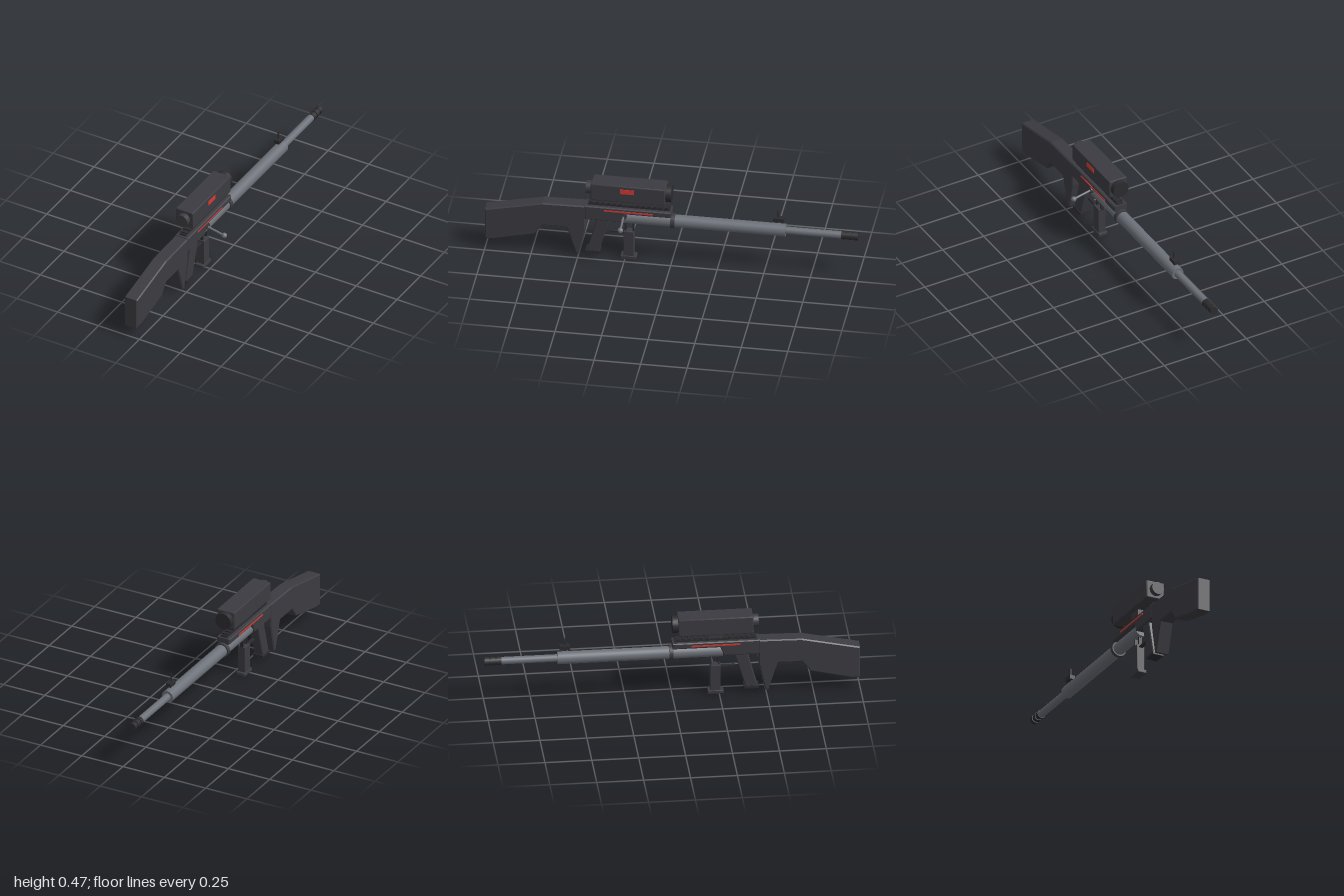
import * as THREE from 'three';
import { RoundedBoxGeometry } from 'three/addons/geometries/RoundedBoxGeometry.js';
import { toCreasedNormals } from 'three/addons/utils/BufferGeometryUtils.js';

const CX = -0.053; // centre plane of the body
const BORE = 0.25; // height of the barrel axis

function material(name, color) {
  const m = new THREE.MeshStandardMaterial({ color });
  m.name = name;
  return m;
}

export function createModel() {
  const body = material('charcoal', 0x3c3b41);
  const dark = material('black', 0x2c2c2f);
  const steel = material('steel', 0x6c7078);
  const red = material('red', 0xd23a32);
  const model = new THREE.Group();
  model.name = 'rifle';

  function add(name, geometry, mat, x = 0, y = 0, z = 0) {
    const mesh = new THREE.Mesh(geometry, mat);
    mesh.name = name;
    mesh.position.set(x, y, z);
    model.add(mesh);
    return mesh;
  }
  // Box given by its y and z limits, centred on the body
  function box(name, mat, width, y0, y1, z0, z1, x = CX, bevel = 0) {
    const size = [width, y1 - y0, z1 - z0];
    const g = bevel
      ? toCreasedNormals(new RoundedBoxGeometry(...size, 1, bevel), 0.3)
      : new THREE.BoxGeometry(...size);
    return add(name, g, mat, x, (y0 + y1) / 2, (z0 + z1) / 2);
  }
  // Cylinder lying along z
  function tube(name, mat, r, y, z0, z1, sides = 24) {
    const g = new THREE.CylinderGeometry(r, r, z1 - z0, sides).rotateX(Math.PI / 2);
    return add(name, g, mat, CX, y, (z0 + z1) / 2);
  }
  // Side profile of [z, y] points, extruded across x with a chamfer
  function profile(name, mat, width, points, bevel) {
    const shape = new THREE.Shape(points.map(([z, y]) => new THREE.Vector2(z, y)));
    const depth = width - 2 * bevel;
    const g = new THREE.ExtrudeGeometry(shape, {
      depth, bevelEnabled: true, bevelSegments: 1,
      bevelSize: bevel, bevelThickness: bevel, bevelOffset: -bevel,
    });
    g.translate(0, 0, -depth / 2).rotateY(-Math.PI / 2);
    return add(name, g, mat, CX);
  }
  // Round rod between two points
  function rod(name, mat, a, b, r) {
    const curve = new THREE.LineCurve3(new THREE.Vector3(...a), new THREE.Vector3(...b));
    const geo = new THREE.TubeGeometry(curve, 1, r, 8);
    return add(name, geo, mat);
  }

  // Stock with its pointed front lobe
  profile('stock', body, 0.078, [
    [0.46, 0.315], [0.46, 0.175], [0.495, 0.015], [0.51, 0.015], [0.56, 0.175],
    [0.69, 0.175], [0.735, 0.115], [0.955, 0.063], [1, 0.063], [1, 0.245], [0.69, 0.311],
  ], 0.006);

  // Receiver, open below at the front where the barrel shows
  profile('receiver', body, 0.08, [
    [0, 0.318], [0, 0.285], [0.255, 0.285], [0.275, 0.235], [0.465, 0.235], [0.465, 0.318],
  ], 0.005);
  for (const side of [-1, 1])
    box('receiverStripe', red, 0.004, 0.296, 0.304, 0.1, 0.36, CX + side * 0.041);

  // Rail with teeth
  box('rail', dark, 0.038, 0.315, 0.328, 0.01, 0.45);
  for (let i = 0; i < 14; i++) {
    const z = 0.02 + i * 0.031;
    box('railTooth', dark, 0.038, 0.327, 0.336, z, z + 0.018);
  }

  // Scope
  box('scopeMount', body, 0.048, 0.334, 0.37, 0.195, 0.27);
  box('scopeBody', body, 0.106, 0.367, 0.466, 0.03, 0.43, CX, 0.005);
  tube('eyepiece', body, 0.035, 0.417, 0.42, 0.46);
  tube('objective', dark, 0.046, 0.417, 0, 0.04);
  box('scopePanel', red, 0.005, 0.422, 0.449, 0.196, 0.27, 0.0005);

  // Barrel
  tube('shroud', steel, 0.034, BORE, -0.61, 0.27);
  tube('collar', body, 0.041, BORE, -0.017, 0.005);
  tube('barrel', steel, 0.02, BORE, -0.92, -0.6);
  tube('muzzle', dark, 0.019, BORE, -1, -0.91, 16);
  for (let i = 0; i < 3; i++)
    tube('muzzleRing', dark, 0.023, BORE, -1 + i * 0.033, -0.976 + i * 0.033, 16);

  // Front sight
  box('frontSightBase', dark, 0.03, 0.303, 0.325, -0.6, -0.545);
  box('frontSightPost', dark, 0.007, 0.32, 0.37, -0.571, -0.563);

  // Bolt handle
  const pivot = new THREE.CylinderGeometry(0.018, 0.018, 0.012, 16).rotateZ(Math.PI / 2);
  add('boltPivot', pivot, body, -0.014, 0.274, 0.255);
  rod('boltHandle', steel, [-0.03, 0.275, 0.255], [0.09, 0.25, 0.255], 0.006);
  add('boltKnob', new THREE.SphereGeometry(0.015, 16, 12), steel, 0.09, 0.25, 0.255);

  // Pistol grip
  profile('grip', body, 0.056, [
    [0.4, 0.24], [0.33, 0.24], [0.39, 0.035], [0.455, 0.035],
  ], 0.005);
  box('gripBase', dark, 0.062, 0.025, 0.038, 0.383, 0.462);

  // Trigger and guard
  rod('trigger', dark, [CX, 0.27, 0.262], [CX, 0.18, 0.242], 0.005);
  box('triggerGuard', dark, 0.02, 0.152, 0.16, 0.255, 0.335);

  // Magazine hung below the receiver
  box('magazineFront', dark, 0.02, 0.16, 0.24, 0.203, 0.211);
  box('magazineRear', dark, 0.02, 0.16, 0.24, 0.245, 0.253);
  box('magazine', body, 0.044, 0.015, 0.17, 0.203, 0.258, CX, 0.003);
  box('magazineBase', body, 0.052, 0, 0.02, 0.19, 0.274, CX, 0.003);

  return model;
}
